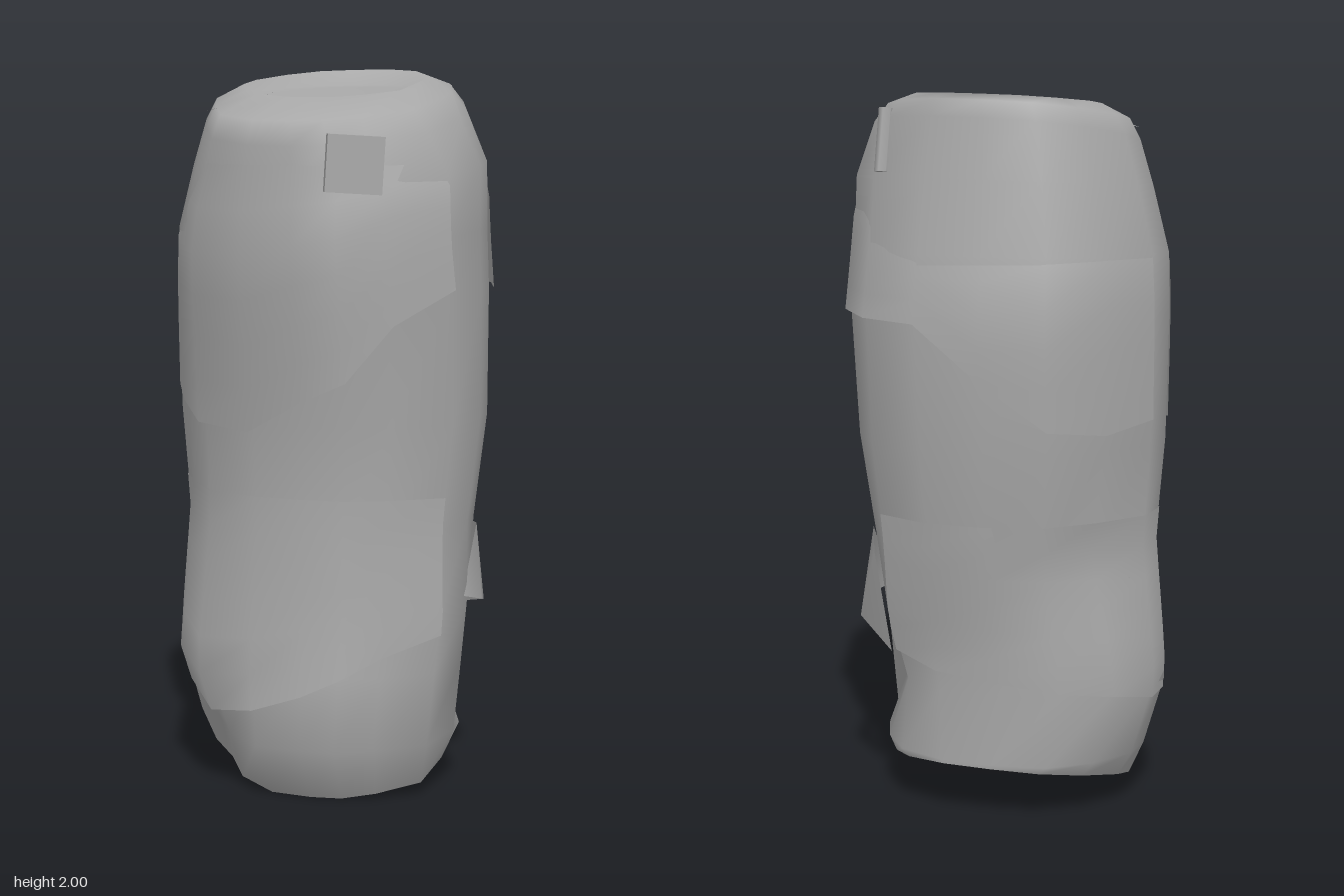
import * as THREE from 'three';

// Plan outline of the trunk, normalised to -1..1, running front -> +x -> back -> -x
const OUTLINE = [
  [-0.24, 0.98], [0.1, 1], [0.36, 0.97], [0.62, 0.82], [0.94, 0.53], [1, 0.02], [0.98, -0.22],
  [0.85, -0.58], [0.6, -0.87], [0.22, -1], [-0.18, -0.97], [-0.56, -0.87], [-0.83, -0.59],
  [-1, -0.21], [-1, 0.09], [-0.84, 0.42], [-0.62, 0.78],
];
const N = OUTLINE.length;

// Cross-sections: y at front, y at back, min x, max x, min z, max z
const ROWS = [
  [0.00, 0.15, -0.345, 0.335, -0.33, 0.26],
  [0.16, 0.16, -0.385, 0.37, -0.33, 0.365],
  [0.36, 0.36, -0.445, 0.39, -0.33, 0.35],
  [0.52, 0.52, -0.435, 0.405, -0.345, 0.335],
  [0.76, 0.76, -0.415, 0.405, -0.39, 0.33],
  [1.05, 1.05, -0.44, 0.44, -0.425, 0.335],
  [1.40, 1.40, -0.445, 0.44, -0.455, 0.405],
  [1.55, 1.58, -0.44, 0.435, -0.43, 0.43],
  [1.70, 1.78, -0.395, 0.435, -0.395, 0.42],
  [1.80, 1.94, -0.355, 0.375, -0.375, 0.425],
  [1.865, 1.985, -0.325, 0.33, -0.365, 0.405],
  [1.925, 2.00, -0.25, 0.25, -0.357, 0.2],
  [1.92, 1.955, -0.22, 0.22, -0.33, 0.16],
];

// Hollows: [corner, depth, height of the deepest point, reach up and down]
const HOLLOWS = [
  [6, 0.12, 0.4, 0.24], [7, 0.09, 0.38, 0.24], [8, 0.035, 0.35, 0.2],
  [7, 0.035, 0.88, 0.25], [11, 0.03, 0.74, 0.28], [12, 0.04, 0.74, 0.28],
  [15, 0.05, 0.14, 0.22], [16, 0.05, 0.14, 0.22],
];

// Point of a cross-section in the direction of outline corner i
function sectionPoint(row, i) {
  const k = ((i % N) + N) % N;
  const [u, w] = OUTLINE[k];
  const [yF, yB, x0, x1, z0, z1] = row;
  const y = yF + (yB - yF) * (1 - w) / 2;
  const x = u > 0 ? u * x1 : -u * x0, z = w > 0 ? w * z1 : -w * z0;
  let depth = 0;
  for (const [corner, d, at, reach] of HOLLOWS) {
    if (corner === k) depth += d * Math.max(0, 1 - Math.abs(y - at) / reach);
  }
  const f = 1 - depth / Math.hypot(x, z);
  return [x * f, y, z * f];
}

// Trunk surface at corner i and height y, pushed outwards
function surfacePoint(i, y, push) {
  let k = 1;
  while (k < 9 && ROWS[k + 1][0] < y) k++;
  const a = ROWS[k], b = ROWS[k + 1];
  const t = (y - a[0]) / (b[0] - a[0]);
  const p = sectionPoint(a.map((v, j) => v + (b[j] - v) * t), i);
  const r = Math.hypot(p[0], p[2]);
  return [p[0] * (1 + push / r), y, p[2] * (1 + push / r)];
}

function meshFrom(name, points, faces, material) {
  const geo = new THREE.BufferGeometry();
  geo.setAttribute('position', new THREE.Float32BufferAttribute(points, 3));
  geo.setIndex(faces);
  geo.computeVertexNormals();
  const mesh = new THREE.Mesh(geo, material);
  mesh.name = name;
  return mesh;
}

export function createModel() {
  const model = new THREE.Group();
  model.name = 'trunk';
  const stone = new THREE.MeshStandardMaterial({ color: 0xa8a8a8, side: THREE.DoubleSide });
  stone.name = 'plain grey';

  // Hollow trunk, open below, with a slanting top sunk a little behind its rim
  const points = [], faces = [];
  ROWS.forEach(row => { for (let i = 0; i < N; i++) points.push(...sectionPoint(row, i)); });
  for (let r = 0; r < ROWS.length - 1; r++) {
    for (let i = 0; i < N; i++) {
      const a = r * N + i, b = r * N + (i + 1) % N;
      faces.push(a, b, b + N, a, b + N, a + N);
    }
  }
  const last = (ROWS.length - 1) * N;
  points.push(0, 1.95, -0.08);
  for (let i = 0; i < N; i++) faces.push(last + i, last + (i + 1) % N, ROWS.length * N);
  model.add(meshFrom('body', points, faces, stone));

  // Overlapping bark sheets: [lower-edge height, stand-off] from corner "start" onwards
  function sheet(name, start, edge, top) {
    const pts = [], fs = [], steps = 6;
    edge.forEach(([low, push], j) => {
      for (let s = 0; s <= steps; s++) {
        const y = low + (top - low) * s / steps;
        pts.push(...surfacePoint(start + j, y, push * (1 - s / steps) + 0.002));
        if (j && s) {
          const a = (j - 1) * (steps + 1) + s - 1, b = a + steps + 1;
          fs.push(a, b, b + 1, a, b + 1, a + 1);
        }
      }
    });
    model.add(meshFrom(name, pts, fs, stone));
  }
  sheet('chestSheet', -3, [[1.11, 0.003], [1.08, 0.012], [1.04, 0.02], [1.03, 0.025],
    [1.12, 0.05], [1.18, 0.06], [1.33, 0.04], [1.42, 0.02]], 1.75);
  sheet('backSheet', 6, [[1.4, 0.012], [1.4, 0.015], [1.4, 0.01], [1.4, 0.006], [1.25, 0.01],
    [1.12, 0.01], [1.1, 0.01], [1.12, 0.004]], 1.78);
  sheet('lowerBackSheet', 8, [[0.45, 0.01], [0.42, 0.008], [0.4, 0.01], [0.38, 0.012],
    [0.36, 0.012], [0.33, 0.008], [0.33, 0.003]], 0.85);
  sheet('lowerFrontSheet', -3, [[0.33, 0.003], [0.28, 0.03], [0.23, 0.03], [0.26, 0.01],
    [0.31, 0.01], [0.36, 0.01], [0.42, 0.01], [0.47, 0.008]], 0.85);

  // Flap standing out over the hollow on one side
  model.add(meshFrom('sideFlap', [
    0.41, 0.74, -0.07, 0.40, 0.55, 0.03, 0.435, 0.53, -0.04,
    0.405, 0.5, -0.17, 0.24, 0.45, -0.31, 0.31, 0.72, -0.27,
  ], [0, 1, 2, 0, 2, 3, 0, 3, 5, 3, 4, 5], stone));

  // Square peg on the front
  const peg = new THREE.Mesh(new THREE.BoxGeometry(0.15, 0.15, 0.05), stone);
  peg.name = 'frontPeg';
  peg.position.set(0.21, 1.755, 0.41);
  peg.rotation.set(0, 0.42, -0.06);
  model.add(peg);

  // Small upright sliver near the back of the top
  const sliver = new THREE.Mesh(new THREE.CylinderGeometry(0.02, 0.02, 0.17, 6), stone);
  sliver.name = 'backSliver';
  sliver.position.set(0.235, 1.87, -0.335);
  sliver.rotation.x = 0.2;
  model.add(sliver);

  // Loose splinter lying on the top
  model.add(meshFrom('topSplinter', [
    -0.30, 1.885, 0.18, -0.25, 1.895, 0.22, -0.13, 1.94, 0.06,
  ], [0, 1, 2], stone));

  return model;
}
